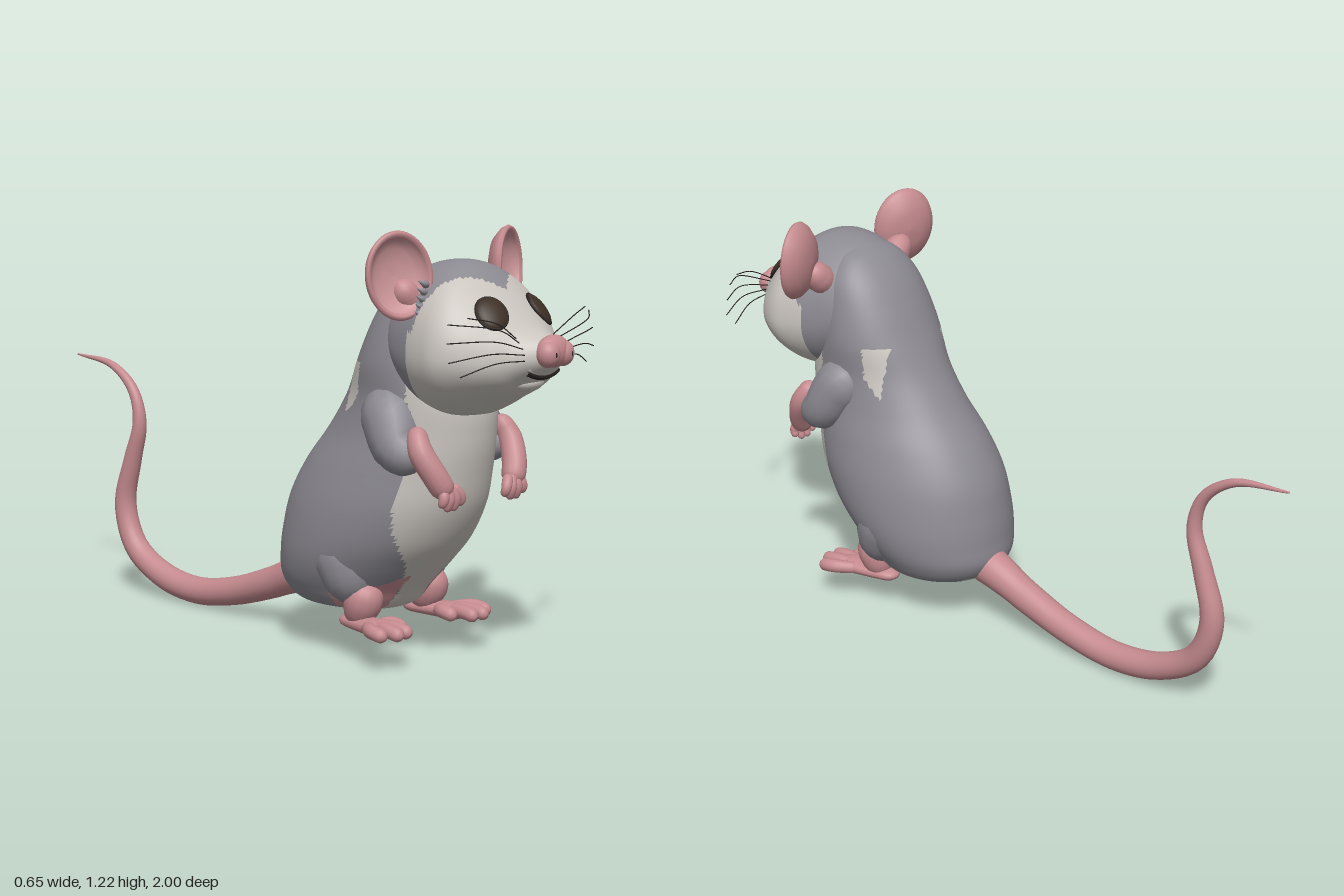
import * as THREE from 'three';

const mat = (name, color, side = THREE.FrontSide) => {
  const m = new THREE.MeshStandardMaterial({ color, side });
  m.name = name;
  return m;
};
const V = (x, y, z) => new THREE.Vector3(x, y, z);

// Smooth interpolation of a table of section rows, t in 0..1
function sample(rows, t) {
  const n = rows.length - 1, f = Math.min(t * n, n - 1e-6), i = Math.floor(f), u = f - i;
  const at = k => rows[Math.max(0, Math.min(n, k))];
  return rows[0].map((_, c) => {
    const [a, b, d, e] = [at(i - 1)[c], at(i)[c], at(i + 1)[c], at(i + 2)[c]];
    return b + 0.5 * u * (d - a + u * (2 * a - 5 * b + 4 * d - e + u * (3 * (b - d) + e - a)));
  });
}

// Closed skin over a series of rings, with both ends capped
function loft(rings) {
  const n = rings[0].length, last = rings.length - 1, pos = [], idx = [];
  rings.forEach(r => r.forEach(p => pos.push(p.x, p.y, p.z)));
  for (const k of [0, last]) {
    const c = rings[k].reduce((s, p) => s.add(p), V(0, 0, 0)).divideScalar(n);
    pos.push(c.x, c.y, c.z);
  }
  const c0 = n * (last + 1), c1 = c0 + 1;
  for (let j = 0; j < n; j++) {
    const k = (j + 1) % n;
    for (let i = 0; i < last; i++) {
      const a = i * n + j, b = i * n + k;
      idx.push(a, a + n, b, b, a + n, b + n);
    }
    idx.push(c0, j, k, c1, last * n + k, last * n + j);
  }
  const g = new THREE.BufferGeometry();
  g.setAttribute('position', new THREE.Float32BufferAttribute(pos, 3));
  g.setIndex(idx);
  g.computeVertexNormals();
  return g;
}

// Round-ended tapering limb along a curve
function limb(points, radii, segs = 18, sides = 14) {
  const curve = new THREE.CatmullRomCurve3(points.map(p => V(...p)));
  const len = curve.getLength(), chord = curve.getPoint(1).sub(curve.getPoint(0)).normalize();
  const ref = Math.abs(chord.x) > 0.8 ? V(0, 1, 0) : V(1, 0, 0), rings = [];
  for (let i = 0; i <= segs; i++) {
    const t = (1 - Math.cos(Math.PI * i / segs)) / 2, f = t * (radii.length - 1);
    const k = Math.min(Math.floor(f), radii.length - 2);
    let r = THREE.MathUtils.lerp(radii[k], radii[k + 1], f - k);
    const d = Math.min(t, 1 - t) * len;
    if (d < r) r *= Math.max(0.02, Math.sqrt(1 - (1 - d / r) ** 2));
    const p = curve.getPointAt(t), T = curve.getTangentAt(t);
    const N = ref.clone().addScaledVector(T, -T.dot(ref)).normalize(), B = T.clone().cross(N);
    rings.push(Array.from({ length: sides }, (_, j) => {
      const a = j / sides * Math.PI * 2;
      return p.clone().addScaledVector(N, Math.cos(a) * r).addScaledVector(B, -Math.sin(a) * r);
    }));
  }
  return loft(rings);
}

// Sort triangles into colour groups by their centre
function paint(geo, pick) {
  const p = geo.attributes.position, ix = geo.index.array, lists = [[], [], []];
  for (let i = 0; i < ix.length; i += 3) {
    const c = V(0, 0, 0);
    for (let k = 0; k < 3; k++) c.add(V(0, 0, 0).fromBufferAttribute(p, ix[i + k]));
    c.divideScalar(3);
    lists[pick(Math.abs(c.x), c.y, c.z)].push(ix[i], ix[i + 1], ix[i + 2]);
  }
  let start = 0;
  lists.forEach((l, m) => { geo.addGroup(start, l.length, m); start += l.length; });
  geo.setIndex(lists.flat());
  return geo;
}

export function createModel() {
  const root = new THREE.Group();
  root.name = 'rodent';
  const grey = mat('grey fur', 0x8d8b92), white = mat('pale fur', 0xc9c4be), pink = mat('pink skin', 0xc58b8f);
  const earPink = mat('inner ear pink', 0xcf989b), brown = mat('eye brown', 0x3d3026), dark = mat('dark line', 0x26211f);
  const add = (name, geo, m, parent = root) => {
    const mesh = new THREE.Mesh(geo, m);
    mesh.name = name;
    parent.add(mesh);
    return mesh;
  };
  const ball = (name, [x, y, z], [sx, sy, sz], m, parent) => {
    const b = add(name, new THREE.SphereGeometry(1, 24, 16), m, parent);
    b.position.set(x, y, z);
    b.scale.set(sx, sy, sz);
    return b;
  };
  const fur = [grey, white, pink];

  // Body: level sections of height, back z, front z, half width
  const bodyRows = [[.125, .17, .39, .08], [.145, .08, .45, .165], [.2, .035, .495, .208], [.27, .035, .56, .235],
    [.35, .045, .63, .245], [.45, .07, .685, .24], [.55, .125, .712, .22], [.65, .205, .73, .195], [.75, .275, .73, .185],
    [.85, .33, .68, .19], [.95, .38, .66, .175], [1.03, .43, .65, .15], [1.09, .49, .62, .1], [1.12, .55, .59, .03]];
  const bellyRows = [[.075], [.065], [.1], [.155], [.185], [.19], [.175], [.155], [.16], [.17]];
  const bodyRings = Array.from({ length: 121 }, (_, i) => {
    const [y, b, f, w] = sample(bodyRows, i / 120);
    return Array.from({ length: 128 }, (_, j) => {
      const a = j / 64 * Math.PI;
      return V(Math.cos(a) * w, y, (b + f) / 2 + Math.sin(a) * (f - b) / 2);
    });
  });
  add('body', paint(loft(bodyRings), (x, y, z) => {
    if (x > .068 && z > .33 && y < .2 + (.17 - x) * .5) return 2;
    if (y < .16 && x < .09) return 1;
    const belly = sample(bellyRows, THREE.MathUtils.clamp((y - .13) / .63, 0, 1))[0];
    return z > .36 && x < belly && y < .85 ? 1 : 0;
  }), fur);

  // Head: upright sections of z, bottom y, top y, half width
  const headRows = [[.45, .93, 1.03, .06], [.48, .84, 1.07, .13], [.53, .77, 1.11, .175], [.6, .72, 1.133, .205],
    [.68, .705, 1.135, .228], [.74, .722, 1.11, .235], [.8, .755, 1.06, .21], [.86, .785, 1.003, .155],
    [.9, .815, .968, .108], [.94, .845, .947, .07], [.97, .87, .93, .035]];
  const headRings = Array.from({ length: 101 }, (_, i) => {
    const [z, b, t, w] = sample(headRows, i / 100), mid = b + (t - b) * .42;
    return Array.from({ length: 112 }, (_, j) => {
      const a = j / 56 * Math.PI, s = -Math.sin(a);
      return V(Math.cos(a) * w, mid + s * (s > 0 ? t - mid : mid - b), z);
    });
  });
  const head = add('head', paint(loft(headRings), (x, y, z) =>
    z > (y > .95 ? Math.max(.635, .8 - .7 * x) : .635) ? 1 : 0), fur);
  const onHead = (x, y) =>
    new THREE.Raycaster(V(x, y, 2), V(0, 0, -1)).intersectObject(head)[0] ||
    { point: V(x, y, .88), face: { normal: V(0, 0, 1) } };

  // Nose
  ball('nose', [0, .908, .96], [.058, .044, .034], pink);
  for (const s of [-1, 1]) {
    ball('noseLobe', [s * .03, .902, .967], [.033, .036, .032], pink);
    ball('nostril', [s * .033, .902, .994], [.007, .011, .005], dark);
  }

  // Mouth and chin
  const smile = (dy, dz) => new THREE.CatmullRomCurve3(Array.from({ length: 9 }, (_, i) => {
    const x = (i - 4) * .0165, p = onHead(x, .836 + 3.5 * x * x).point;
    return V(x, p.y + dy, p.z + dz);
  }));
  ball('chin', [0, .818, .872], [.06, .026, .038], white);
  add('mouth', new THREE.TubeGeometry(smile(0, .002), 32, .007, 8), dark);
  add('upperLip', new THREE.TubeGeometry(smile(.011, .004), 32, .006, 8), white);

  // Tail
  add('tail', limb([[0, .2, .12], [0, .175, .04], [0, .12, -.1], [0, .07, -.26], [0, .046, -.43], [0, .072, -.59], [0, .15, -.72],
    [0, .28, -.768], [0, .43, -.73], [0, .55, -.695], [0, .65, -.722], [0, .725, -.82], [0, .75, -1]],
  [.066, .05, .045, .043, .042, .039, .035, .028, .019, .012, .003], 90, 24), pink);

  // Paired parts
  for (const s of [1, -1]) {
    const side = s > 0 ? 'left' : 'right';
    const m = pts => pts.map(([x, y, z]) => [s * x, y, z]);
    const part = (name, pts, radii, material) => add(side + name, limb(m(pts), radii), material);

    // Eyes
    const hit = onHead(s * .1, 1.005);
    const eye = new THREE.Group();
    eye.name = side + 'Eye';
    eye.position.copy(hit.point);
    eye.lookAt(hit.point.clone().add(hit.face.normal));
    ball('eyeball', [0, 0, 0], [.044, .05, .016], brown, eye);
    const rim = add('eyeRim', new THREE.TorusGeometry(.044, .004, 8, 40), dark, eye);
    rim.scale.y = 1.13;
    root.add(eye);

    // Ears: cupped shell with paler lining
    const ear = new THREE.Group();
    ear.name = side + 'Ear';
    ear.position.set(s * .228, 1.1, .615);
    ear.rotation.set(-.06, s * .36, -s * .08);
    const dish = pts => new THREE.LatheGeometry(pts.map(p => new THREE.Vector2(...p)), 48).rotateX(Math.PI / 2);
    for (const [name, pts, material] of [
      ['earShell', [[0, -.045], [.04, -.042], [.075, -.028], [.095, -.006], [.1, .008], [.097, .016], [.09, .017], [.084, .01]], pink],
      ['earLining', [[.084, .01], [.078, -.004], [.06, -.018], [.03, -.026], [0, -.028]], earPink]]) {
      add(name, dish(pts), material, ear).scale.y = 1.2;
    }
    root.add(ear);
    part('EarBase', [[.12, .99, .59], [.165, 1.035, .595], [.21, 1.08, .595]], [.035, .045, .035], pink);
    for (let i = 0; i < 5; i++) {
      const y = 1.075 - i * .02;
      part('EarTuft', [[.15 + i * .006, y, .645], [.17 + i * .005, y + .002, .66], [.193 + i * .003, y + .012, .655]],
        [.012, .009, .001], grey);
    }

    // Whiskers
    [[.99, .93, .30], [.942, .915, .31], [.892, .9, .31], [.852, .885, .27], [1.005, .94, .25]].forEach(([yEnd, y0, xEnd], i) => {
      const p = onHead(s * .075, y0).point;
      const pts = [[s * .075, y0, p.z - .005], [s * (.075 + xEnd) / 2, (y0 + yEnd) / 2 + .014, .925 - i * .006], [s * xEnd, yEnd, .85 + i * .006]];
      add(side + 'Whisker', new THREE.TubeGeometry(new THREE.CatmullRomCurve3(pts.map(q => V(...q))), 16, .0016, 5), dark);
    });

    // Arms and hands
    part('UpperArm', [[.11, .77, .47], [.155, .7, .53], [.18, .625, .58], [.178, .595, .66]], [.07, .085, .072, .045], grey);
    part('Forearm', [[.172, .69, .635], [.19, .63, .665], [.17, .565, .7], [.138, .505, .72]], [.025, .035, .035, .034], pink);
    for (let i = 0; i < 4; i++) {
      const x = .096 + i * .024;
      part('Finger', [[.14 + (i - 1.5) * .012, .535, .718], [x, .5, .732], [x + .002, [.478, .466, .466, .48][i], .722]],
        [.016, .015, .011], pink);
    }

    // Legs and feet
    part('Thigh', [[.13, .4, .3], [.15, .27, .36], [.145, .16, .39]], [.09, .095, .06], grey);
    part('Ankle', [[.14, .23, .43], [.14, .16, .41], [.14, .1, .38]], [.055, .056, .04], pink);
    const foot = part('Foot', [[.13, .105, .33], [.145, .105, .42], [.165, .108, .54]], [.034, .042, .05], pink);
    foot.scale.y = .55;
    foot.position.y = .049;
    [[.108, .545], [.142, .595], [.182, .6], [.222, .575]].forEach(([x, z]) =>
      part('Toe', [[.15 + (x - .16) * .4, .108, .46], [x, .113, z - .05], [x, .104, z]], [.018, .021, .02], pink));
  }
  return root;
}
